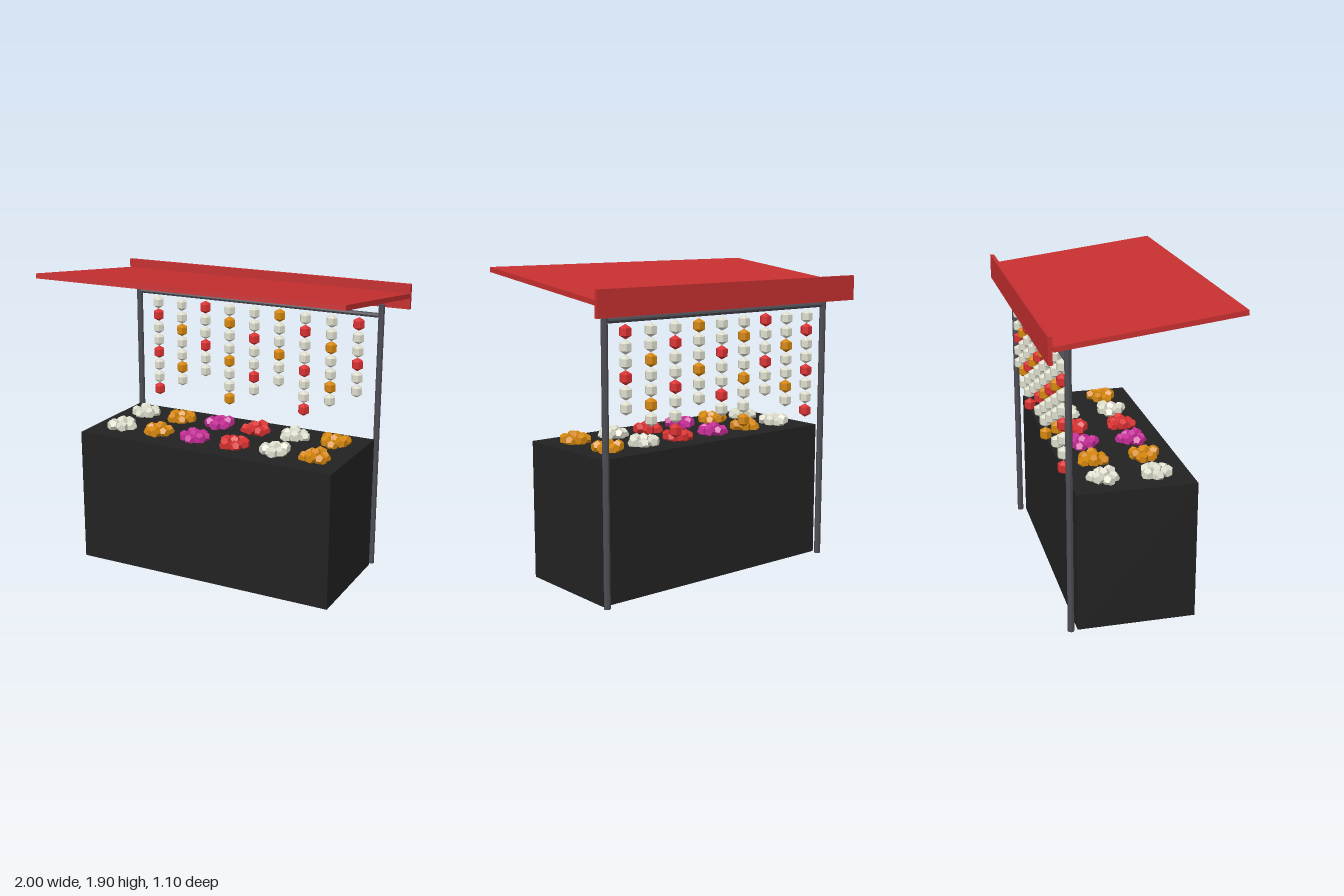
import * as THREE from 'three';

const mat = (name, color) => {
  const m = new THREE.MeshStandardMaterial({ color, flatShading: true });
  m.name = name;
  return m;
};

export function createModel() {
  const black = mat('black cloth', 0x222222);
  const canopyRed = mat('canopy red', 0xc62f30);
  const steel = mat('steel grey', 0x4c4c54);
  const white = mat('ivory', 0xdcdccc);
  const orange = mat('amber', 0xd4860c);
  const pink = mat('magenta', 0xc42c96);
  const red = mat('bright red', 0xd83030);

  const stall = new THREE.Group();
  stall.name = 'marketStall';
  const add = (parent, name, geometry, material, x, y, z) => {
    const mesh = new THREE.Mesh(geometry, material);
    mesh.name = name;
    mesh.position.set(x, y, z);
    parent.add(mesh);
    return mesh;
  };

  // Draped counter
  add(stall, 'counter', new THREE.BoxGeometry(1.72, 0.86, 0.715), black, 0, 0.43, -0.018);

  // Rear posts and the rail between them
  const backZ = -0.415;
  const post = new THREE.CylinderGeometry(0.02, 0.02, 1.715, 8);
  for (const side of [-1, 1]) add(stall, 'post', post, steel, side * 0.86, 0.8575, backZ);
  const rail = add(stall, 'rail', new THREE.CylinderGeometry(0.015, 0.015, 1.72, 8), steel, 0, 1.645, backZ);
  rail.rotation.z = Math.PI / 2;

  // Sloping canopy with a rear valance
  const canopy = add(stall, 'canopy', new THREE.BoxGeometry(2, 0.03, 1.076), canopyRed, 0, 1.825, 0.013);
  canopy.rotation.x = -0.121;
  add(stall, 'valance', new THREE.BoxGeometry(2, 0.155, 0.025), canopyRed, 0, 1.753, -0.5365);

  // Hanging bead strings: every third bead is coloured
  const bead = new THREE.SphereGeometry(0.043, 6, 3);
  const accents = [red, orange, red, orange, red, orange, red, orange, red];
  const firstAccent = [1, 2, 0, 1, 2, 0, 1, 2, 0];
  for (let s = 0; s < 9; s++) {
    const string = new THREE.Group();
    string.name = 'beadString';
    string.position.set((s - 4) * 0.179, 1.578, backZ);
    const count = 8 - (s % 3);
    for (let i = 0; i < count; i++) {
      const accent = i % 3 === firstAccent[s];
      add(string, 'bead', bead, accent ? accents[s] : white, 0, -i * 0.086, 0);
    }
    stall.add(string);
  }

  // Piles of goods in two rows: a ring of lumps around a raised centre
  const lump = new THREE.DodecahedronGeometry(0.04);
  const goods = [white, orange, pink, red, white, orange];
  goods.forEach((material, c) => {
    [0.137, -0.175].forEach((z, row) => {
      const pile = new THREE.Group();
      pile.name = 'goodsPile';
      pile.position.set((c - 2.5) * 0.271, 0.86, z);
      pile.rotation.y = c * 0.7 + row * 1.3;
      add(pile, 'lump', lump, material, 0, 0.033, 0);
      for (let i = 0; i < 6; i++) {
        const a = (i / 6) * Math.PI * 2;
        const r = i % 2 ? 0.055 : 0.066;
        const l = add(pile, 'lump', lump, material, Math.cos(a) * r, 0.012 + (i % 3) * 0.007, Math.sin(a) * r);
        l.rotation.y = i * 1.1;
      }
      stall.add(pile);
    });
  });

  return stall;
}
